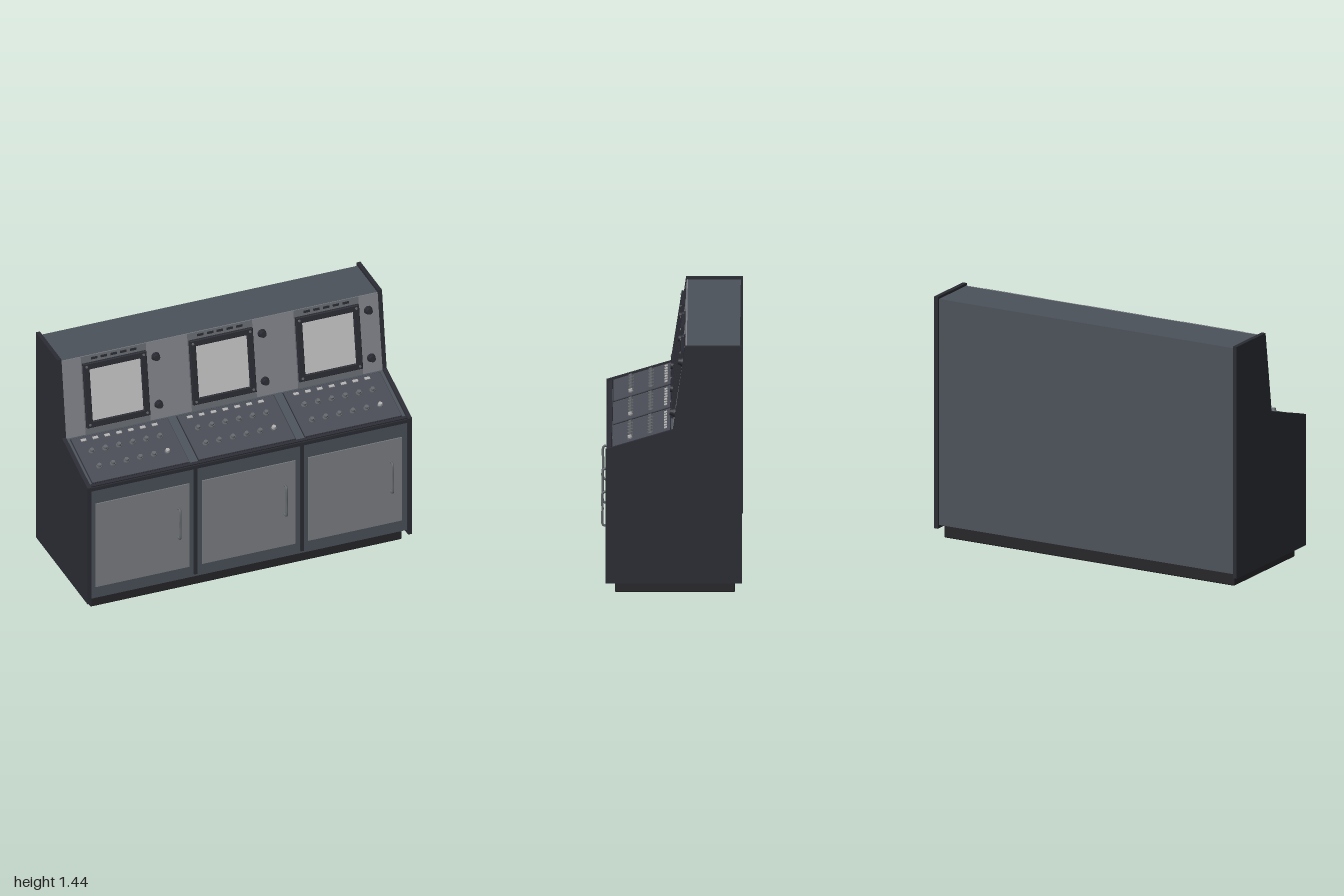
import * as THREE from 'three';
import { RoundedBoxGeometry } from 'three/addons/geometries/RoundedBoxGeometry.js';

const paint = (name, color) => new THREE.MeshStandardMaterial({ name, color });

export function createModel() {
  const M = {
    dark: paint('charcoal', 0x2b2c34),
    plinth: paint('plinth black', 0x26262a),
    body: paint('slate', 0x4b5259),
    door: paint('door grey', 0x7c7f82),
    upper: paint('panel grey', 0x81838a),
    strip: paint('strip grey', 0x686b72),
    screen: paint('screen', 0xc4c4c4),
    desk: paint('desk grey', 0x494c54),
    metal: paint('metal', 0x64686c),
    label: paint('label', 0xb0b0b0),
  };
  const model = new THREE.Group();
  model.name = 'controlConsole';

  const add = (parent, name, geo, mat, x = 0, y = 0, z = 0) => {
    const mesh = new THREE.Mesh(geo, mat);
    mesh.name = name;
    mesh.position.set(x, y, z);
    parent.add(mesh);
    return mesh;
  };
  const box = (parent, name, mat, w, h, d, x, y, z) =>
    add(parent, name, new THREE.BoxGeometry(w, h, d), mat, x, y, z);
  // Disc-like part whose axis points out of the panel (+z)
  const stud = (parent, name, mat, r, h, x, y, z, sides = 12) =>
    add(parent, name, new THREE.CylinderGeometry(r * 0.9, r, h, sides).rotateX(Math.PI / 2), mat, x, y, z + h / 2);
  // Extrudes a [z, y] profile along x, centred on x = 0
  const slab = (profile, width) => {
    const shape = new THREE.Shape(profile.map(([z, y]) => new THREE.Vector2(-z, y)));
    return new THREE.ExtrudeGeometry(shape, { depth: width, bevelEnabled: false })
      .rotateY(Math.PI / 2).translate(-width / 2, 0, 0);
  };
  // Group lying on a sloped face: local y runs up the slope, z points out
  const slope = (name, [z0, y0], [z1, y1]) => {
    const g = new THREE.Group();
    g.name = name;
    g.position.set(0, y0, z0);
    g.rotation.x = -Math.atan2(z0 - z1, y1 - y0);
    model.add(g);
    return { g, length: Math.hypot(z1 - z0, y1 - y0) };
  };

  // Cabinet, end panels and plinth
  const F = [0.36, 0.83], K = [-0.01, 0.945], T = [-0.085, 1.425];
  add(model, 'cabinet', slab([[0.36, 0.08], F, K, T, [-0.387, 1.425], [-0.387, 0.08]], 1.96), M.body);
  const side = slab([[0.38, 0.06], [0.38, 0.84], [-0.005, 0.955], [-0.075, 1.44], [-0.4, 1.44], [-0.4, 0.06]], 0.025);
  for (const s of [-1, 1]) add(model, s < 0 ? 'rightEndPanel' : 'leftEndPanel', side, M.dark, s * 0.9875);
  add(model, 'plinth', new RoundedBoxGeometry(1.92, 0.08, 0.685, 2, 0.008), M.plinth, 0, 0.04, -0.0175);

  // Front trim and door dividers
  box(model, 'frontTrim', M.dark, 1.95, 0.022, 0.02, 0, 0.819, 0.36);
  for (const x of [-0.328, 0.328]) box(model, 'doorDivider', M.dark, 0.02, 0.715, 0.02, x, 0.455, 0.36);

  // Sloped instrument face and desk
  const face = slope('instrumentFace', K, T);
  const desk = slope('desk', F, K);
  box(face.g, 'facePanel', M.upper, 1.95, face.length, 0.006, 0, face.length / 2, 0.003);
  box(desk.g, 'deskEdge', M.dark, 1.95, 0.018, 0.006, 0, 0.009, 0.003);

  // Shared shapes
  const rect = (P, w, h) => {
    const p = new P();
    p.moveTo(-w / 2, -h / 2);
    p.lineTo(w / 2, -h / 2);
    p.lineTo(w / 2, h / 2);
    p.lineTo(-w / 2, h / 2);
    p.closePath();
    return p;
  };
  const bezelShape = rect(THREE.Shape, 0.39, 0.4);
  bezelShape.holes.push(rect(THREE.Path, 0.316, 0.325));
  const bezel = new THREE.ExtrudeGeometry(bezelShape, {
    depth: 0.016, bevelThickness: 0.003, bevelSize: 0.003, bevelOffset: -0.003, bevelSegments: 1,
  });
  const handlePath = new THREE.CatmullRomCurve3([
    [-0.096, 0], [-0.097, 0.025], [-0.088, 0.034], [0, 0.034], [0.088, 0.034], [0.097, 0.025], [0.096, 0],
  ].map(([y, z]) => new THREE.Vector3(0, y, z)), false, 'centripetal');
  const handle = new THREE.TubeGeometry(handlePath, 32, 0.007, 8);

  for (const cx of [-0.655, 0, 0.655]) {
    // Door with handle
    box(model, 'doorPanel', M.door, 0.575, 0.56, 0.008, cx, 0.435, 0.362);
    add(model, 'doorHandle', handle, M.metal, cx + 0.22, 0.47, 0.362);

    // Monitor with bezel, bolts, vents and knobs
    const my = 0.244;
    box(face.g, 'monitorStrip', M.strip, 0.4, face.length, 0.004, cx, face.length / 2, 0.006);
    add(face.g, 'monitorBezel', bezel, M.dark, cx, my, 0.009);
    box(face.g, 'monitorScreen', M.screen, 0.32, 0.33, 0.008, cx, my, 0.011);
    for (const sx of [-1, 1]) for (const sy of [-1, 1])
      stud(face.g, 'bezelBolt', M.metal, 0.008, 0.004, cx + sx * 0.176, my + sy * 0.181, 0.028, 8);
    for (let i = -2; i <= 2; i++)
      box(face.g, 'ventSlot', M.dark, 0.038, 0.013, 0.006, cx + i * 0.06, 0.466, 0.01);
    for (const y of [0.092, 0.39]) {
      stud(face.g, 'knobBase', M.dark, 0.026, 0.012, cx + 0.255, y, 0.006, 16);
      stud(face.g, 'knob', M.dark, 0.02, 0.018, cx + 0.255, y, 0.018, 12);
    }

    // Desk panel with labels and buttons
    box(desk.g, 'deskPanelBorder', M.dark, 0.602, 0.35, 0.004, cx, 0.196, 0.002);
    box(desk.g, 'deskPanel', M.desk, 0.594, 0.342, 0.008, cx, 0.196, 0.004);
    for (let i = 0; i < 7; i++)
      box(desk.g, 'buttonLabel', M.label, 0.032, 0.018, 0.006, cx - 0.23 + i * 0.073, 0.341, 0.01);
    for (let i = 0; i < 6; i++) for (const y of [0.131, 0.251]) {
      const x = cx - 0.215 + i * 0.084;
      const key = i === 5 && y < 0.2;
      stud(desk.g, 'buttonCollar', M.metal, 0.018, 0.006, x, y, 0.008);
      stud(desk.g, key ? 'keySwitch' : 'button', key ? M.label : M.metal, 0.013, 0.014, x, y, 0.013);
    }
  }
  return model;
}
